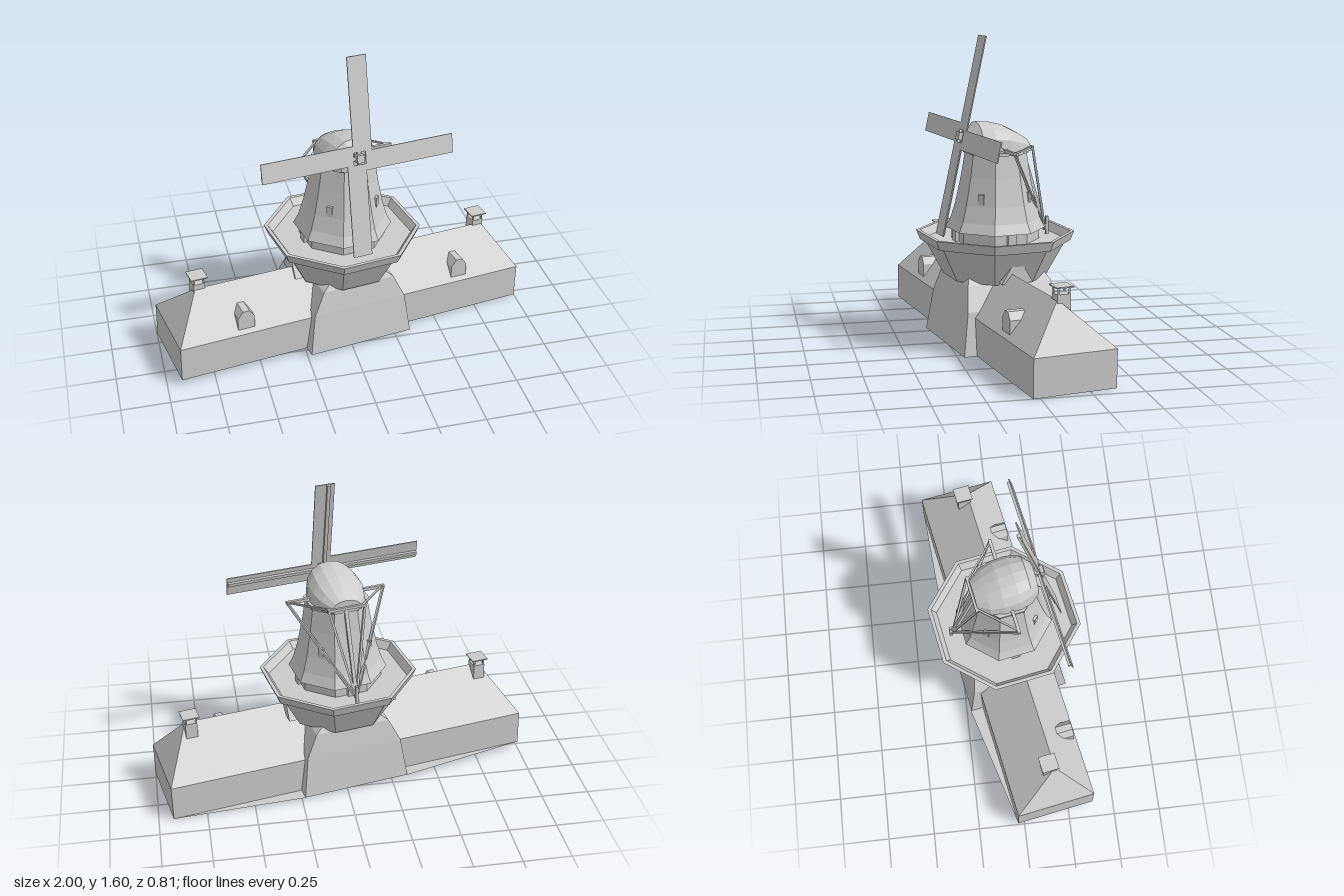
import * as THREE from 'three';

const mat = new THREE.MeshStandardMaterial({ color: 0xcccccc, flatShading: true, side: THREE.DoubleSide });

function add(parent, name, geo, x = 0, y = 0, z = 0) {
  const m = new THREE.Mesh(geo, mat);
  m.name = name;
  m.position.set(x, y, z);
  parent.add(m);
  return m;
}
const box = (p, name, w, h, d, x, y, z) => add(p, name, new THREE.BoxGeometry(w, h, d), x, y, z);

// Flat faces, each a convex loop of [x, y, z] corners
function faces(list) {
  const pos = [];
  for (const f of list)
    for (let i = 1; i < f.length - 1; i++) pos.push(...f[0], ...f[i], ...f[i + 1]);
  const g = new THREE.BufferGeometry();
  g.setAttribute('position', new THREE.Float32BufferAttribute(pos, 3));
  g.computeVertexNormals();
  return g;
}

// Eight-sided turned shape with flats facing the axes
function octagon(points) {
  return new THREE.LatheGeometry(points.map(([r, y]) => new THREE.Vector2(r, y)), 8, Math.PI / 8).toNonIndexed();
}

// Square beam between two points
function beam(p, name, a, b, t = 0.012) {
  const A = new THREE.Vector3(...a), B = new THREE.Vector3(...b);
  const m = box(p, name, t, t, A.distanceTo(B), 0, 0, 0);
  m.position.copy(A).add(B).multiplyScalar(0.5);
  m.quaternion.setFromUnitVectors(new THREE.Vector3(0, 0, 1), B.sub(A).normalize());
}

// Outline in x/y pushed along z
function prism(outline, depth) {
  const s = new THREE.Shape(outline.map(([x, y]) => new THREE.Vector2(x, y)));
  return new THREE.ExtrudeGeometry(s, { depth, bevelEnabled: false });
}

function buildBarn(g) {
  const L = 0.978, W = 0.213, E = 0.19, R = 0.41, U = 0.83, Z = 0.03;
  const c = [[-L, W], [L, W], [L, -W], [-L, -W]];
  // Open-bottomed walls
  add(g, 'barnWalls', faces(c.map(([x, z], i) => {
    const [x2, z2] = c[(i + 1) % 4];
    return [[x, 0, z], [x2, 0, z2], [x2, E, z2], [x, E, z]];
  })));
  // Hipped roof
  const a = [-U, R, Z], b = [U, R, Z], e = c.map(([x, z]) => [x, E, z]);
  add(g, 'barnRoof', faces([[e[0], e[1], b, a], [e[1], e[2], b], [e[2], e[3], a, b], [e[3], e[0], a]]));

  for (const s of [-1, 1]) {
    // Chimney with a raised cover plate
    const ch = new THREE.Group();
    ch.name = 'chimney';
    ch.position.set(s * 0.81, 0, 0);
    box(ch, 'chimneyStack', 0.062, 0.12, 0.07, 0, 0.375, 0);
    for (const x of [-1, 1]) for (const z of [-1, 1])
      box(ch, 'coverPost', 0.007, 0.034, 0.007, x * 0.026, 0.45, z * 0.028);
    box(ch, 'coverPlate', 0.088, 0.006, 0.09, 0, 0.47, 0);
    g.add(ch);
    // Dormer on the front slope
    add(g, 'dormer', prism([[-0.045, 0.21], [0.045, 0.21], [0.045, 0.28], [0.018, 0.318], [-0.018, 0.318], [-0.045, 0.28]], 0.11),
      s * 0.617, 0, 0.085);
    // Ground apron behind the barn
    add(g, 'backApron', faces([[[s * L, 0.002, -W], [s * 0.27, 0.002, -W], [s * 0.285, 0.002, -0.285]]]));
  }
}

function buildCrossBlock(g) {
  // Battered block through the barn: half width, height, half depth
  const rings = [[0.288, 0, 0.28], [0.258, 0.22, 0.25], [0.2, 0.34, 0.228], [0.14, 0.39, 0.2]];
  const list = [];
  const loop = ([u, y, w]) => [[-u, y, w], [u, y, w], [u, y, -w], [-u, y, -w]];
  for (let r = 0; r < rings.length - 1; r++) {
    const lo = loop(rings[r]), hi = loop(rings[r + 1]);
    for (let i = 0; i < 4; i++) {
      const j = (i + 1) % 4;
      list.push([lo[i], lo[j], hi[j], hi[i]]);
    }
  }
  list.push(loop(rings[3]));
  add(g, 'crossBlock', faces(list));
  // Ridge gable that carries the gallery
  const ridge = add(g, 'supportGable', prism([[-0.085, 0.36], [0.085, 0.36], [0, 0.5]], 0.6), -0.3, 0, 0);
  ridge.rotation.y = Math.PI / 2;
}

function buildTower(g) {
  add(g, 'gallery', octagon([[0.001, 0.345], [0.27, 0.345], [0.368, 0.525], [0.392, 0.525], [0.412, 0.575],
    [0.392, 0.575], [0.365, 0.535], [0.001, 0.535]]));
  add(g, 'towerBody', octagon([[0.228, 0.53], [0.228, 0.59], [0.258, 0.594], [0.232, 0.645], [0.207, 0.73], [0.178, 0.87],
    [0.16, 0.985], [0.168, 0.985], [0.168, 1.0], [0.001, 1.0]]));
  // Small windows and doors around the tower
  for (let i = 0; i < 4; i++) {
    const side = new THREE.Group();
    side.name = 'towerOpenings';
    side.rotation.y = Math.PI / 4 + i * Math.PI / 2;
    box(side, 'window', 0.03, 0.055, 0.03, 0, 0.765, 0.178);
    g.add(side);
    const face = new THREE.Group();
    face.name = 'towerDoor';
    face.rotation.y = i * Math.PI / 2;
    box(face, 'door', 0.045, 0.075, 0.03, 0, 0.573, 0.213);
    g.add(face);
  }
}

function buildCap(g) {
  // Boat-shaped cap from arched sections: z, half width, crown height
  const stations = [[0.16, 0.085, 1.1], [0.115, 0.125, 1.15], [0.05, 0.143, 1.147], [-0.03, 0.143, 1.128],
    [-0.1, 0.125, 1.092], [-0.16, 0.08, 1.055]];
  const n = 8, base = 0.995;
  const arch = ([z, w, top]) => Array.from({ length: n + 1 }, (_, i) => {
    const t = Math.PI * i / n;
    return [w * Math.cos(t), base + (top - base) * Math.pow(Math.max(0, Math.sin(t)), 0.75), z];
  });
  const rows = stations.map(arch), list = [];
  for (let r = 0; r < rows.length - 1; r++)
    for (let i = 0; i < n; i++) list.push([rows[r][i], rows[r][i + 1], rows[r + 1][i + 1], rows[r + 1][i]]);
  list.push(rows[0], rows[rows.length - 1].slice().reverse());
  add(g, 'cap', faces(list));

  // Tail beams, braces and winch post
  const foot = [0, 0.56, -0.285];
  beam(g, 'crossBeam', [-0.265, 1.01, 0.005], [0.265, 1.01, 0.005], 0.016);
  beam(g, 'rearBeam', [-0.1, 1.015, -0.165], [0.1, 1.015, -0.165], 0.014);
  beam(g, 'tailPole', [0, 1.02, -0.14], foot, 0.018);
  for (const s of [-1, 1]) {
    beam(g, 'longBrace', [s * 0.26, 1.01, 0.005], foot);
    beam(g, 'shortBrace', [s * 0.095, 1.015, -0.165], foot);
    beam(g, 'sideTie', [s * 0.25, 1.01, 0.005], [s * 0.08, 1.015, -0.165], 0.009);
  }
  box(g, 'winchPost', 0.014, 0.1, 0.014, 0, 0.58, -0.295);
}

function buildSails(g) {
  const rotor = new THREE.Group();
  rotor.name = 'rotor';
  rotor.position.set(0, 1.077, 0.192);
  rotor.rotation.x = -0.21;
  box(rotor, 'hub', 0.04, 0.04, 0.04, 0, 0, 0);
  box(rotor, 'windShaft', 0.03, 0.03, 0.14, 0, 0, -0.07);
  for (let i = 0; i < 4; i++) {
    const arm = new THREE.Group();
    arm.name = 'sail';
    arm.rotation.z = i * Math.PI / 2;
    box(arm, 'sailBoard', 0.102, 0.487, 0.006, 0.017, 0.2765, 0);
    box(arm, 'sailSpar', 0.018, 0.51, 0.016, 0, 0.262, -0.009);
    rotor.add(arm);
  }
  g.add(rotor);
}

export function createModel() {
  const model = new THREE.Group();
  model.name = 'windmill';
  const mill = new THREE.Group();
  mill.name = 'mill';
  // Turned and leaning very slightly
  mill.rotation.set(0, 0.18, -0.018, 'YXZ');
  mill.position.y = 0.0176;
  buildBarn(mill);
  buildCrossBlock(mill);
  buildTower(mill);
  buildCap(mill);
  buildSails(mill);
  model.add(mill);
  return model;
}
